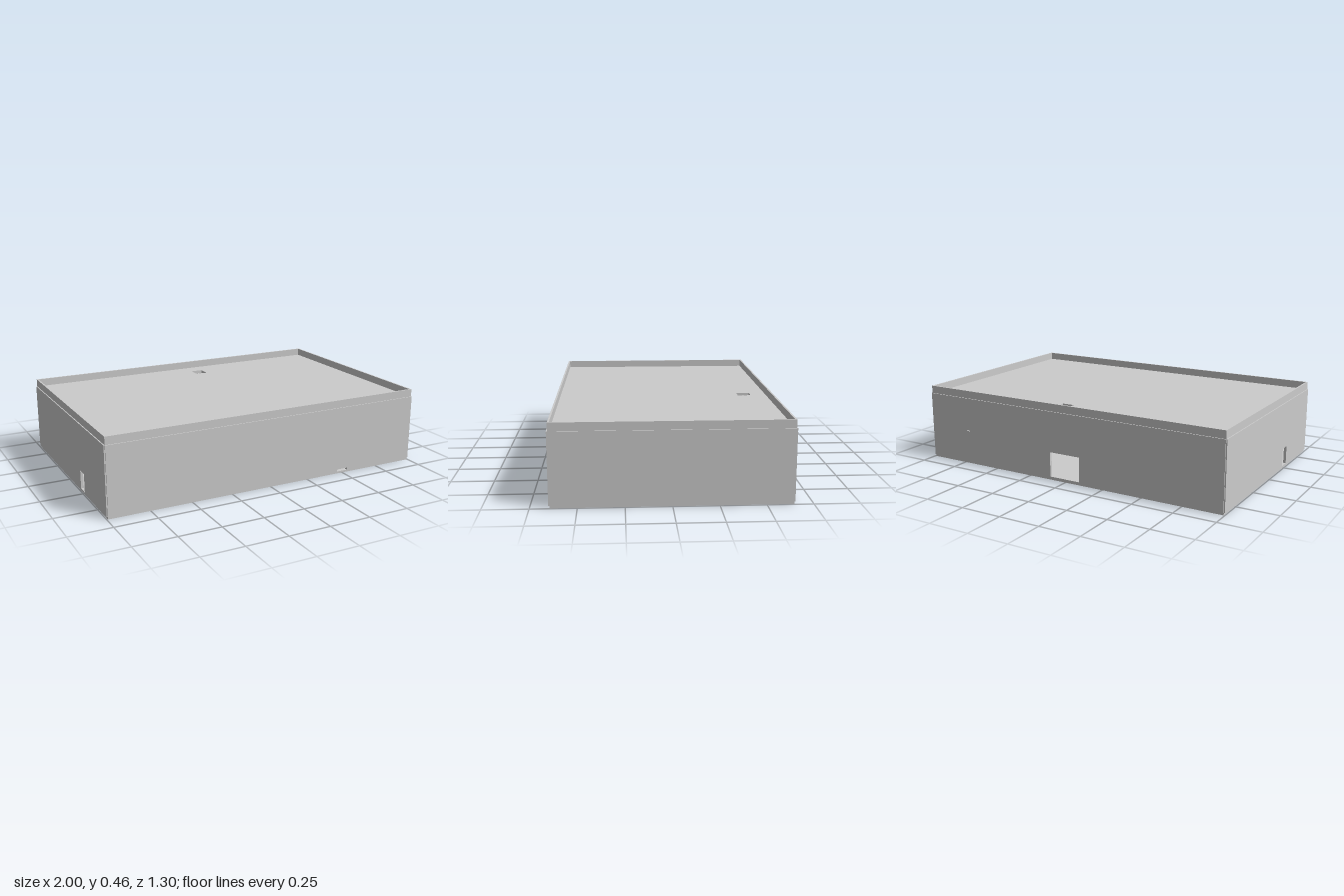
import * as THREE from 'three';

const mat = new THREE.MeshStandardMaterial({ color: 0xcccccc, flatShading: true });

// Rectangle outline, given as edges
function rect(x0, y0, x1, y1, Type = THREE.Shape) {
  const r = new Type();
  r.moveTo(x0, y0);
  r.lineTo(x1, y0);
  r.lineTo(x1, y1);
  r.lineTo(x0, y1);
  r.closePath();
  return r;
}

// Flat slab with rectangular openings, extruded along +z
function slab(name, edges, openings, depth) {
  const shape = rect(...edges);
  for (const o of openings) shape.holes.push(rect(...o, THREE.Path));
  const mesh = new THREE.Mesh(new THREE.ExtrudeGeometry(shape, { depth, bevelEnabled: false }), mat);
  mesh.name = name;
  return mesh;
}

function box(name, w, h, d, x, y, z) {
  const mesh = new THREE.Mesh(new THREE.BoxGeometry(w, h, d), mat);
  mesh.position.set(x, y, z);
  mesh.name = name;
  return mesh;
}

export function createModel() {
  const model = new THREE.Group();
  model.name = 'building';
  const X = 0.994, Z = 0.645;   // structure half sizes
  const T = 0.01, C = 0.006;    // wall and cladding thickness
  const H = 0.46;

  // Walls: outward turn, half length, distance, openings in the wall's own plane
  const sides = [
    ['front', 0, X, Z, [[0.46, 0.015, 0.53, 0.028]]],
    ['back', Math.PI, X, Z, [[-0.1, 0.021, 0.1, 0.17], [-0.72, 0.207, -0.7, 0.213]]],
    ['left', Math.PI / 2, Z, X, []],
    ['right', -Math.PI / 2, Z, X, [[0.217, 0.021, 0.283, 0.13]]],
  ];
  for (const [name, turn, half, dist, openings] of sides) {
    const side = new THREE.Group();
    side.name = name + 'Side';
    // Side walls fit between the front and back walls
    const inner = half === Z ? half - T : half;
    const wall = slab(name + 'Wall', [-inner, 0, inner, H], openings, T);
    wall.position.z = dist - T;
    // Thin cladding panel, stopping short of the base and the parapet
    const panel = slab(name + 'Cladding', [-half, 0.014, half, 0.414], openings, C);
    panel.position.z = dist;
    side.add(wall, panel);
    side.rotation.y = turn;
    model.add(side);
  }

  // Floor
  model.add(box('floor', 2 * (X - T), 0.015, 2 * (Z - T), 0, 0.0075, 0));

  // Roof with a square hatch opening
  const roof = slab('roof', [-X + T, -Z + T, X - T, Z - T], [[0.057, 0.46, 0.133, 0.54]], 0.03);
  roof.rotation.x = -Math.PI / 2;
  roof.position.y = 0.385;
  model.add(roof);

  // Recessed hatch with its handle
  model.add(box('hatch', 0.076, 0.01, 0.08, 0.095, 0.39, -0.5));
  model.add(box('hatchHandle', 0.026, 0.012, 0.006, 0.095, 0.401, -0.5));
  return model;
}
